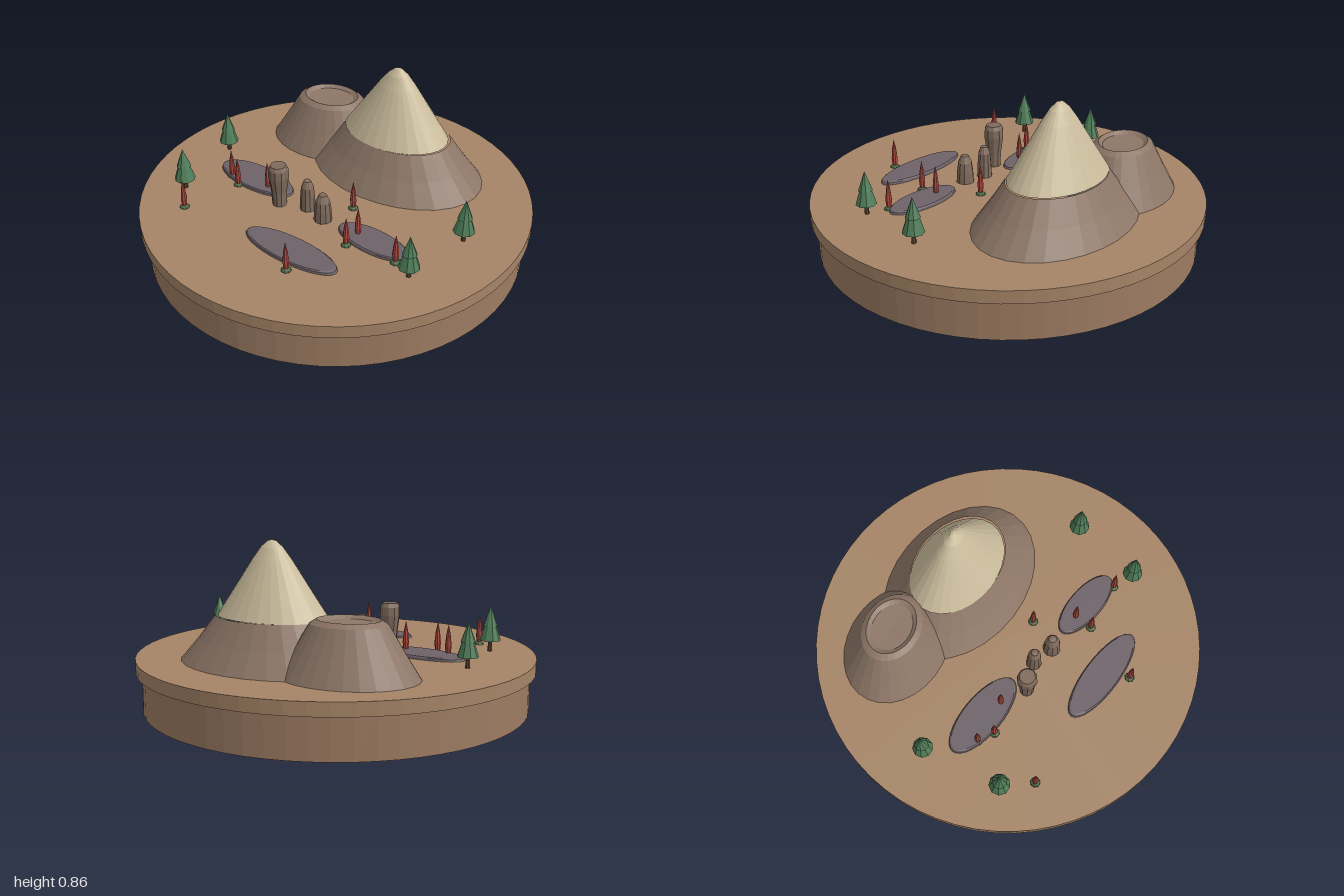
import * as THREE from 'three';

const mat = (name, color) => {
  const m = new THREE.MeshStandardMaterial({ color, flatShading: true });
  m.name = name;
  return m;
};

export function createModel() {
  const earth = mat('earth', 0xa58466);
  const plinthBrown = mat('plinth brown', 0x9c7b62);
  const rock = mat('mountain rock', 0x8d7667);
  const pale = mat('pale summit', 0xcabc9c);
  const stone = mat('pillar stone', 0x806b5c);
  const mud = mat('pool grey', 0x6d6268);
  const leaf = mat('conifer green', 0x4f7d58);
  const tuft = mat('tuft green', 0x46613f);
  const bark = mat('bark', 0x5e4636);
  const red = mat('spire red', 0xb04a40);

  const GROUND = 0.265;
  const model = new THREE.Group();
  model.name = 'volcanicDiorama';

  const add = (parent, name, geometry, material, x = 0, y = 0, z = 0) => {
    const m = new THREE.Mesh(geometry, material);
    m.name = name;
    m.position.set(x, y, z);
    parent.add(m);
    return m;
  };
  // Revolved profile of [radius, height] points, listed from the bottom up
  const lathe = (points, sides) =>
    new THREE.LatheGeometry(points.map(([r, y]) => new THREE.Vector2(r, y)), sides);
  // Revolved profile squashed to an ellipse and turned about the vertical
  const oval = (points, sides, aspect, degrees) =>
    lathe(points, sides).scale(1, 1, aspect).rotateY(-THREE.MathUtils.degToRad(degrees));

  // Round base
  add(model, 'plinth', new THREE.CylinderGeometry(0.97, 0.97, 0.2, 64), plinthBrown, 0, 0.1, 0);
  add(model, 'groundDisc', new THREE.CylinderGeometry(1, 1, 0.065, 64), earth, 0, 0.2325, 0);

  // Tall peak: rock slope below, pale summit above
  const slope = [[0.485, GROUND], [0.385, 0.375], [0.293, 0.49]];
  const summit = [[0.293, 0.49], [0.195, 0.63], [0.105, 0.76], [0.058, 0.82], [0.022, 0.85], [0, 0.855]];
  add(model, 'peakSlope', oval(slope, 28, 0.725, 21), rock, 0.245, 0, -0.33);
  add(model, 'peakSummit', oval(summit, 28, 0.715, 21), pale, 0.235, 0, -0.33);

  // Low crater with a shallow floor
  const crater = [[0.333, GROUND], [0.26, 0.38], [0.183, 0.508], [0.15, 0.528], [0.125, 0.512], [0, 0.508]];
  add(model, 'crater', oval(crater, 28, 0.79, 10), rock, -0.18, 0, -0.548);

  // Raised oval pools: x, z, half length, half width, turn
  const pools = [
    [-0.435, -0.015, 0.242, 0.1, 24],
    [0.283, 0.35, 0.206, 0.085, 25],
    [-0.075, 0.52, 0.273, 0.089, 22],
  ];
  for (const [x, z, a, b, turn] of pools) {
    const profile = [[a, GROUND], [a * 0.98, 0.276], [a * 0.93, 0.281], [0, 0.281]];
    add(model, 'pool', oval(profile, 32, b / a, turn), mud, x, 0, z);
  }

  // Stone pillars, each with its own profile
  const pillars = [
    [-0.25, 0.165, [[0.036, 0], [0.04, 0.08], [0.052, 0.165], [0.05, 0.21], [0.04, 0.23], [0, 0.23]]],
    [-0.1, 0.165, [[0.04, 0], [0.037, 0.07], [0.032, 0.13], [0.018, 0.165], [0, 0.168]]],
    [0, 0.235, [[0.046, 0], [0.043, 0.06], [0.036, 0.11], [0.02, 0.145], [0, 0.148]]],
  ];
  for (const [x, z, profile] of pillars)
    add(model, 'stonePillar', lathe(profile, 10), stone, x, GROUND, z);

  // Conifers: trunk and two skirts of foliage
  const conifers = [[-0.685, -0.255, 0.96], [-0.765, 0.16, 1], [0.695, 0.215, 1], [0.5, 0.55, 0.97]];
  const trunkGeo = new THREE.CylinderGeometry(0.009, 0.012, 0.08, 7);
  const lowerGeo = lathe([[0, 0.06], [0.054, 0.056], [0.026, 0.145], [0, 0.15]], 9);
  const upperGeo = lathe([[0, 0.134], [0.037, 0.13], [0, 0.232]], 9);
  for (const [x, z, s] of conifers) {
    const tree = new THREE.Group();
    tree.name = 'conifer';
    tree.position.set(x, GROUND, z);
    tree.scale.setScalar(s);
    add(tree, 'trunk', trunkGeo, bark, 0, 0.04, 0);
    add(tree, 'lowerFoliage', lowerGeo, leaf);
    add(tree, 'upperFoliage', upperGeo, leaf);
    model.add(tree);
  }

  // Red plant spires on small green tufts
  const spires = [
    [-0.57, -0.005], [-0.51, 0.065], [-0.35, 0.055], [0.12, 0.105], [0.2, 0.315],
    [0.165, 0.405], [0.42, 0.47], [-0.05, 0.66], [-0.7, 0.325],
  ];
  const tuftGeo = lathe([[0.026, 0], [0.022, 0.009], [0.009, 0.018], [0, 0.019]], 8);
  const spireGeo = lathe([[0, 0.014], [0.013, 0.015], [0.0165, 0.05], [0.011, 0.105], [0, 0.16]], 8);
  for (const [x, z] of spires) {
    const plant = new THREE.Group();
    plant.name = 'redPlant';
    plant.position.set(x, GROUND, z);
    add(plant, 'tuft', tuftGeo, tuft).scale.y = 0.8;
    add(plant, 'spire', spireGeo, red);
    model.add(plant);
  }

  return model;
}
